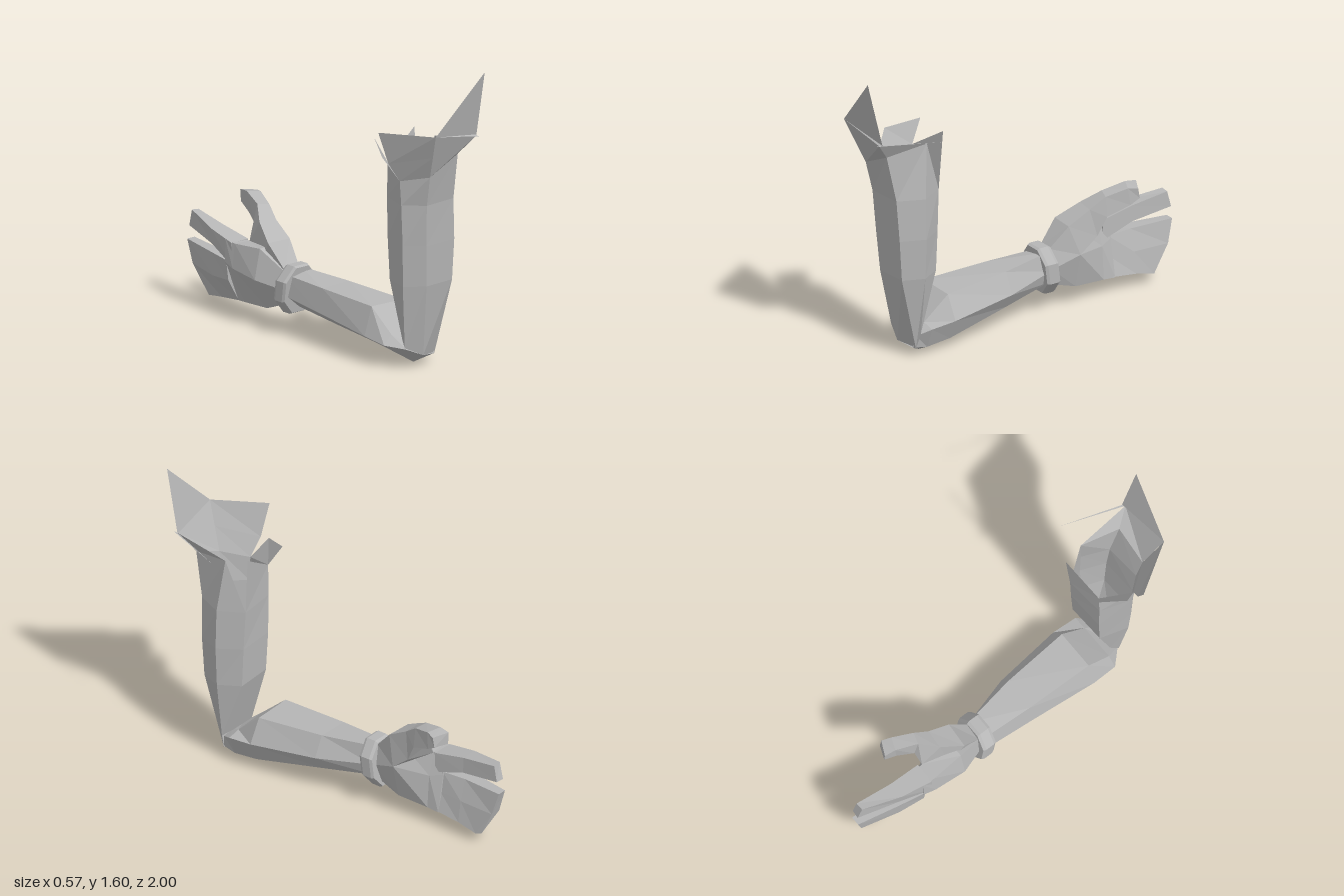
import * as THREE from 'three';

const skin = new THREE.MeshStandardMaterial({ color: 0xb6b6b6, side: THREE.DoubleSide, flatShading: true });
skin.name = 'plainGrey';

// Skin a series of [x, y, z] cross-sections with flat faces
function loft(name, rings, { closed = true, startCap = false, endCap = false } = {}) {
  const out = [];
  const tri = (a, b, c) => out.push(...a, ...b, ...c);
  const n = rings[0].length;
  for (let i = 0; i < rings.length - 1; i++) {
    for (let j = 0; j < (closed ? n : n - 1); j++) {
      const k = (j + 1) % n;
      const a = rings[i][j], b = rings[i][k], c = rings[i + 1][k], d = rings[i + 1][j];
      tri(a, b, c);
      tri(a, c, d);
    }
  }
  const first = rings[0], last = rings[rings.length - 1];
  for (let j = 1; j < n - 1; j++) {
    if (startCap) tri(first[0], first[j + 1], first[j]);
    if (endCap) tri(last[0], last[j], last[j + 1]);
  }
  const geometry = new THREE.BufferGeometry();
  geometry.setAttribute('position', new THREE.Float32BufferAttribute(out, 3));
  geometry.computeVertexNormals();
  const mesh = new THREE.Mesh(geometry, skin);
  mesh.name = name;
  return mesh;
}

// Sections held at one height or one depth
const atY = (y, pts) => pts.map(([x, z]) => [x, y, z]);
const atZ = (z, pts) => pts.map(([x, y]) => [x, y, z]);

export function createModel() {
  const arm = new THREE.Group();
  arm.name = 'arm';

  // Torn upper rim, shared by the arm, collar and flap
  const right = [0.15, 1.19, 0.63], frontRight = [0.11, 1.15, 0.85], frontLeft = [-0.08, 1.06, 0.85];
  const left = [-0.17, 1.03, 0.72], backLeft = [-0.1, 1.08, 0.55], backRight = [0.12, 1.22, 0.51];

  // Hollow upper arm, torn open in a notch between the right and back walls
  const notch = [0.11, 0.9, 0.53];
  arm.add(loft('upperArm', [
    [right, frontRight, frontLeft, left, backLeft, backRight],
    [...atY(0.9, [[0.185, 0.66], [0.125, 0.8], [-0.07, 0.815], [-0.16, 0.72], [-0.105, 0.55]]), notch],
  ], { closed: false }));
  arm.add(loft('notchedWall', [[notch, right], [notch, [0.185, 0.9, 0.66]]], { closed: false }));
  arm.add(loft('lowerSleeve', [
    [...atY(0.9, [[0.185, 0.66], [0.125, 0.8], [-0.07, 0.815], [-0.16, 0.72], [-0.105, 0.55]]), notch],
    atY(0.68, [[0.193, 0.66], [0.14, 0.79], [-0.06, 0.8], [-0.15, 0.72], [-0.1, 0.55], [0.115, 0.54]]),
    atY(0.46, [[0.182, 0.66], [0.138, 0.775], [-0.045, 0.785], [-0.14, 0.71], [-0.095, 0.56], [0.115, 0.55]]),
    [[0.14, 0.14, 0.66], [0.11, 0.05, 0.67], [0, 0.07, 0.71], [-0.1, 0.12, 0.68], [-0.08, 0.15, 0.64], [0.08, 0.16, 0.63]],
  ]));

  // Flared collar around the front of the rim
  const collarRight = [0.16, 1.25, 0.93], collarLeft = [-0.13, 1.305, 0.95], collarSide = [-0.29, 1.305, 0.69];
  arm.add(loft('collarFront', [
    [right, collarRight, collarLeft],
    [right, frontRight, frontLeft],
  ], { closed: false }));
  arm.add(loft('collarSide', [
    [collarLeft, collarSide],
    [[-0.105, 1.18, 0.9], [-0.23, 1.13, 0.7]],
    [frontLeft, left],
  ], { closed: false }));

  // Small flap on the back left of the rim
  arm.add(loft('backFlap', [
    [[-0.22, 1.15, 0.64], [-0.13, 1.2, 0.48]],
    [left, backLeft],
  ], { closed: false }));

  // Thin torn shards standing off the collar
  arm.add(loft('tallShard', [[collarLeft, collarRight], [[0.16, 1.605, 1], [0.175, 1.255, 0.92]]], { closed: false }));
  arm.add(loft('needleShard', [[collarRight, [0.16, 1.252, 0.96]], [[0.285, 1.24, 0.6], [0.285, 1.24, 0.6]]], { closed: false }));

  // Forearm, from elbow to wrist
  arm.add(loft('forearm', [
    [[-0.05, 0.13, 0.67], [0.05, 0.14, 0.66], [0.11, 0.12, 0.67], [0.1, 0.055, 0.68], [0, 0.07, 0.71], [-0.09, 0.11, 0.68]],
    atZ(0.6, [[-0.12, 0.18], [0.08, 0.17], [0.155, 0.155], [0.11, 0.045], [0.03, 0.005], [-0.17, 0.13]]),
    atZ(0.46, [[-0.13, 0.3], [0.09, 0.295], [0.16, 0.17], [0.11, 0.06], [0.02, 0.035], [-0.178, 0.15]]),
    atZ(0.08, [[-0.125, 0.31], [0.055, 0.315], [0.11, 0.205], [0.06, 0.125], [-0.02, 0.095], [-0.15, 0.185]]),
    atZ(-0.22, [[-0.11, 0.315], [0, 0.335], [0.02, 0.235], [0, 0.165], [-0.05, 0.145], [-0.13, 0.21]]),
  ], { startCap: true }));

  // Bevelled octagonal wristband, tilted slightly
  const bandRing = (z, s) => Array.from({ length: 8 }, (_, i) => {
    const a = Math.PI * (0.625 - i / 4);
    const y = 0.14 * s * Math.sin(a);
    return [-0.05 + 0.119 * s * Math.cos(a), 0.235 + y, z + 0.13 * y];
  });
  arm.add(loft('wristband', [
    bandRing(-0.17, 0.82), bandRing(-0.17, 0.94), bandRing(-0.185, 1),
    bandRing(-0.235, 1), bandRing(-0.25, 0.94), bandRing(-0.25, 0.82),
  ], { startCap: true, endCap: true }));

  // Hand: palm, joined fingers, index finger and thumb
  const hand = new THREE.Group();
  hand.name = 'hand';
  arm.add(hand);
  hand.add(loft('palm', [
    atZ(-0.23, [[-0.1, 0.32], [-0.02, 0.34], [0.02, 0.24], [-0.01, 0.15], [-0.08, 0.15], [-0.12, 0.23]]),
    atZ(-0.38, [[-0.14, 0.42], [0, 0.43], [0.055, 0.3], [0.01, 0.11], [-0.09, 0.095], [-0.175, 0.26]]),
    atZ(-0.56, [[-0.15, 0.41], [-0.05, 0.405], [-0.015, 0.28], [0, 0.1], [-0.08, 0.085], [-0.165, 0.28]]),
    atZ(-0.63, [[-0.15, 0.415], [-0.055, 0.41], [-0.04, 0.3], [0, 0.095], [-0.07, 0.08], [-0.155, 0.3]]),
  ], { endCap: true }));
  hand.add(loft('joinedFingers', [
    atZ(-0.62, [[-0.155, 0.31], [-0.05, 0.31], [-0.03, 0.2], [0, 0.1], [-0.07, 0.08], [-0.14, 0.2]]),
    atZ(-0.76, [[-0.13, 0.317], [-0.055, 0.315], [-0.02, 0.2], [0, 0.085], [-0.06, 0.065], [-0.12, 0.19]]),
    [[-0.08, 0.325, -1], [-0.03, 0.325, -1], [-0.015, 0.2, -0.965], [0, 0.06, -0.87], [-0.04, 0.045, -0.88], [-0.07, 0.2, -0.97]],
  ], { startCap: true, endCap: true }));
  hand.add(loft('indexFinger', [
    atZ(-0.58, [[-0.155, 0.41], [-0.04, 0.41], [-0.035, 0.3], [-0.155, 0.29]]),
    atZ(-0.76, [[-0.135, 0.445], [-0.045, 0.445], [-0.04, 0.36], [-0.125, 0.36]]),
    [[-0.075, 0.485, -0.97], [-0.03, 0.48, -0.97], [-0.025, 0.395, -0.99], [-0.07, 0.395, -0.995]],
  ], { startCap: true, endCap: true }));
  hand.add(loft('thumb', [
    atZ(-0.23, [[-0.1, 0.325], [-0.01, 0.345], [0.02, 0.24], [-0.08, 0.24]]),
    [[-0.12, 0.455, -0.34], [0.02, 0.455, -0.33], [0.056, 0.3, -0.38], [-0.1, 0.3, -0.42]],
    [[-0.07, 0.53, -0.46], [0.035, 0.525, -0.45], [0.06, 0.38, -0.48], [-0.05, 0.4, -0.56]],
    [[-0.005, 0.595, -0.55], [0.06, 0.585, -0.53], [0.075, 0.48, -0.53], [0, 0.48, -0.57]],
    [[0.03, 0.63, -0.67], [0.1, 0.62, -0.64], [0.11, 0.53, -0.65], [0.035, 0.52, -0.66]],
    [[0.04, 0.625, -0.73], [0.12, 0.615, -0.69], [0.12, 0.56, -0.7], [0.045, 0.56, -0.73]],
  ], { startCap: true, endCap: true }));

  return arm;
}
